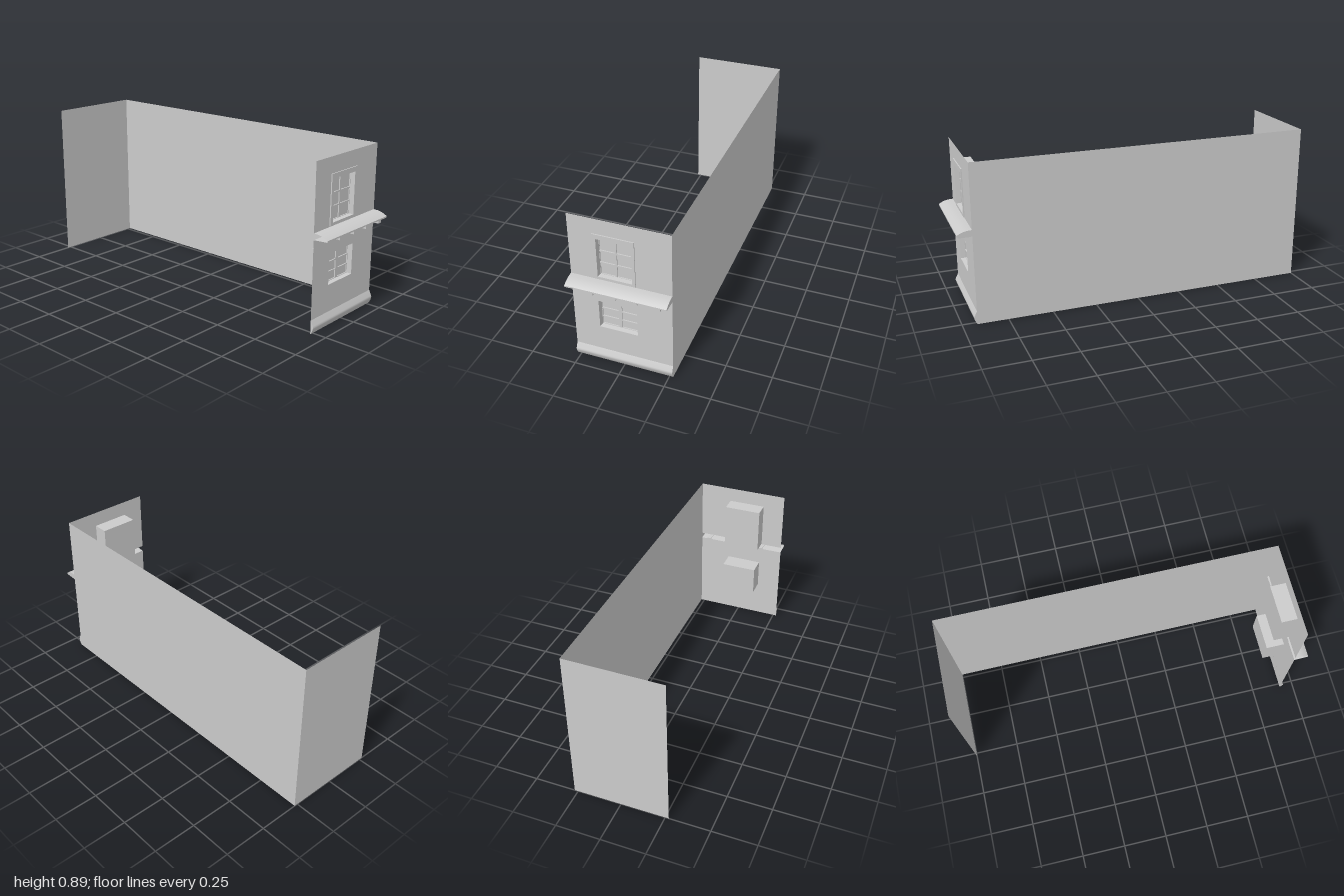
import * as THREE from 'three';

const mat = new THREE.MeshStandardMaterial({ color: 0xcccccc, side: THREE.DoubleSide });
const flat = new THREE.MeshStandardMaterial({ color: 0xcccccc, side: THREE.DoubleSide, flatShading: true });
const W = 0.27, H = 0.895, FRONT = 0.92, BACK = -1;

// Rectangles are [x0, y0, x1, y1]
const corners = ([x0, y0, x1, y1]) => [[x0, y0], [x1, y0], [x1, y1], [x0, y1]];
const path = (r, Type = THREE.Path) => new Type(corners(r).map(p => new THREE.Vector2(...p)));

function add(parent, name, geometry, z = 0, material = mat) {
  const mesh = new THREE.Mesh(geometry, material);
  mesh.name = name;
  mesh.position.z = z;
  parent.add(mesh);
  return mesh;
}

// Flat sheet with rectangular holes
function sheet(rect, holes = []) {
  const shape = path(rect, THREE.Shape);
  shape.holes = holes.map(h => path(h));
  return new THREE.ShapeGeometry(shape);
}

// Four sides joining rectangle a at depth za to rectangle b at depth zb
function sleeve(a, za, b, zb) {
  const A = corners(a), B = corners(b), pos = [];
  for (let i = 0; i < 4; i++) {
    const j = (i + 1) % 4;
    const p = [...A[i], za], q = [...A[j], za], r = [...B[j], zb], s = [...B[i], zb];
    pos.push(...p, ...q, ...r, ...p, ...r, ...s);
  }
  const g = new THREE.BufferGeometry();
  g.setAttribute('position', new THREE.Float32BufferAttribute(pos, 3));
  g.computeVertexNormals();
  return g;
}

// Window box: casing, tapered reveal, glazing bars and recessed panes
function makeWindow(name, { outer, opening, inner, columns, rows, back, front }) {
  const g = new THREE.Group();
  g.name = name;
  const sashZ = front - 0.025;
  add(g, 'boxSides', sleeve(outer, front, outer, back), 0, flat);
  add(g, 'boxBack', sheet(outer).rotateY(Math.PI).scale(-1, 1, 1), back);
  add(g, 'casingFace', sheet(outer, [opening]), front);
  add(g, 'reveal', sleeve(opening, front, inner, sashZ), 0, flat);
  const panes = columns.flatMap(([x0, x1]) => rows.map(([y0, y1]) => [x0, y0, x1, y1]));
  const e = 0.002;
  add(g, 'glazingBars', sheet([inner[0] - e, inner[1] - e, inner[2] + e, inner[3] + e], panes), sashZ);
  for (const p of panes) {
    add(g, 'paneEdge', sleeve(p, sashZ, p, sashZ - 0.006), 0, flat);
    add(g, 'pane', sheet(p), sashZ - 0.006);
  }
  return g;
}

// Solid moulding running across the front; profile points are [z, y]
function moulding(points) {
  const shape = new THREE.Shape(points.map(([z, y]) => new THREE.Vector2(-z, y)));
  return new THREE.ExtrudeGeometry(shape, { depth: 2 * W, bevelEnabled: false })
    .rotateY(Math.PI / 2).translate(-W, 0, 0);
}

// Open strip swept across the front from a [z, y] profile
function strip(points) {
  const g = new THREE.PlaneGeometry(1, 1, 1, points.length - 1);
  const p = g.attributes.position;
  points.forEach(([z, y], i) => {
    p.setXYZ(2 * i, -W, y, z);
    p.setXYZ(2 * i + 1, W, y, z);
  });
  g.computeVertexNormals();
  return g;
}

export function createModel() {
  const model = new THREE.Group();
  model.name = 'houseFacade';

  const upper = {
    outer: [-0.14, 0.54, 0.08, 0.808], opening: [-0.12, 0.555, 0.063, 0.782],
    inner: [-0.115, 0.557, 0.06, 0.771],
    columns: [[-0.113, -0.033], [-0.024, 0.058]],
    rows: [[0.559, 0.623], [0.63, 0.692], [0.701, 0.77]],
    back: 0.83, front: 0.926,
  };
  const lower = {
    outer: [-0.13, 0.223, 0.081, 0.394], opening: [-0.129, 0.224, 0.08, 0.393],
    inner: [-0.124, 0.227, 0.076, 0.388],
    columns: [[-0.121, -0.033], [-0.014, 0.073]],
    rows: [[0.23, 0.275], [0.28, 0.327], [0.334, 0.384]],
    back: 0.815, front: FRONT,
  };

  // Walls: front in two storeys with a slot behind the ledge, one side, and the back
  add(model, 'frontWallLower', sheet([-W, 0, W, 0.5], [lower.outer]), FRONT);
  add(model, 'frontWallUpper', sheet([-W, 0.535, W, H], [upper.outer]), FRONT);
  add(model, 'backWall', sheet([-W, 0, W, H]).rotateY(Math.PI), BACK);
  const side = add(model, 'sideWall', new THREE.PlaneGeometry(FRONT - BACK, H).rotateY(Math.PI / 2), (FRONT + BACK) / 2);
  side.position.set(W, H / 2, (FRONT + BACK) / 2);

  model.add(makeWindow('upperWindow', upper), makeWindow('lowerWindow', lower));

  // Hollow ledge between the storeys, closed at the wall side
  const ledge = [[FRONT, 0.535], [0.945, 0.534], [0.965, 0.53], [0.985, 0.522], [1, 0.513], [1, 0.505], [FRONT, 0.5]];
  add(model, 'ledgeTop', strip(ledge.slice(0, 5)));
  add(model, 'ledgeNose', strip(ledge.slice(4, 6)));
  add(model, 'ledgeUnderside', strip(ledge.slice(5)));
  const cap = new THREE.ShapeGeometry(new THREE.Shape(ledge.map(([z, y]) => new THREE.Vector2(-z, y))));
  add(model, 'ledgeEnd', cap.rotateY(Math.PI / 2).translate(W, 0, 0));

  // Brackets under the ledge
  for (const x of [-0.134, -0.012, 0.1, 0.221]) {
    const bracket = add(model, 'bracket', new THREE.BoxGeometry(0.025, 0.021, 0.07));
    bracket.position.set(x, 0.4945, 0.955);
  }

  // Rounded plinth along the foot of the front wall
  const foot = [[FRONT, 0], [0.926, 0.009], [0.931, 0.019], [0.935, 0.031], [0.936, 0.038], [0.934, 0.046], [FRONT, 0.075]];
  add(model, 'plinth', strip([...foot].reverse()));
  add(model, 'plinthEnds', moulding(foot.map(([z, y]) => [z - 0.0005, y])));

  return model;
}
